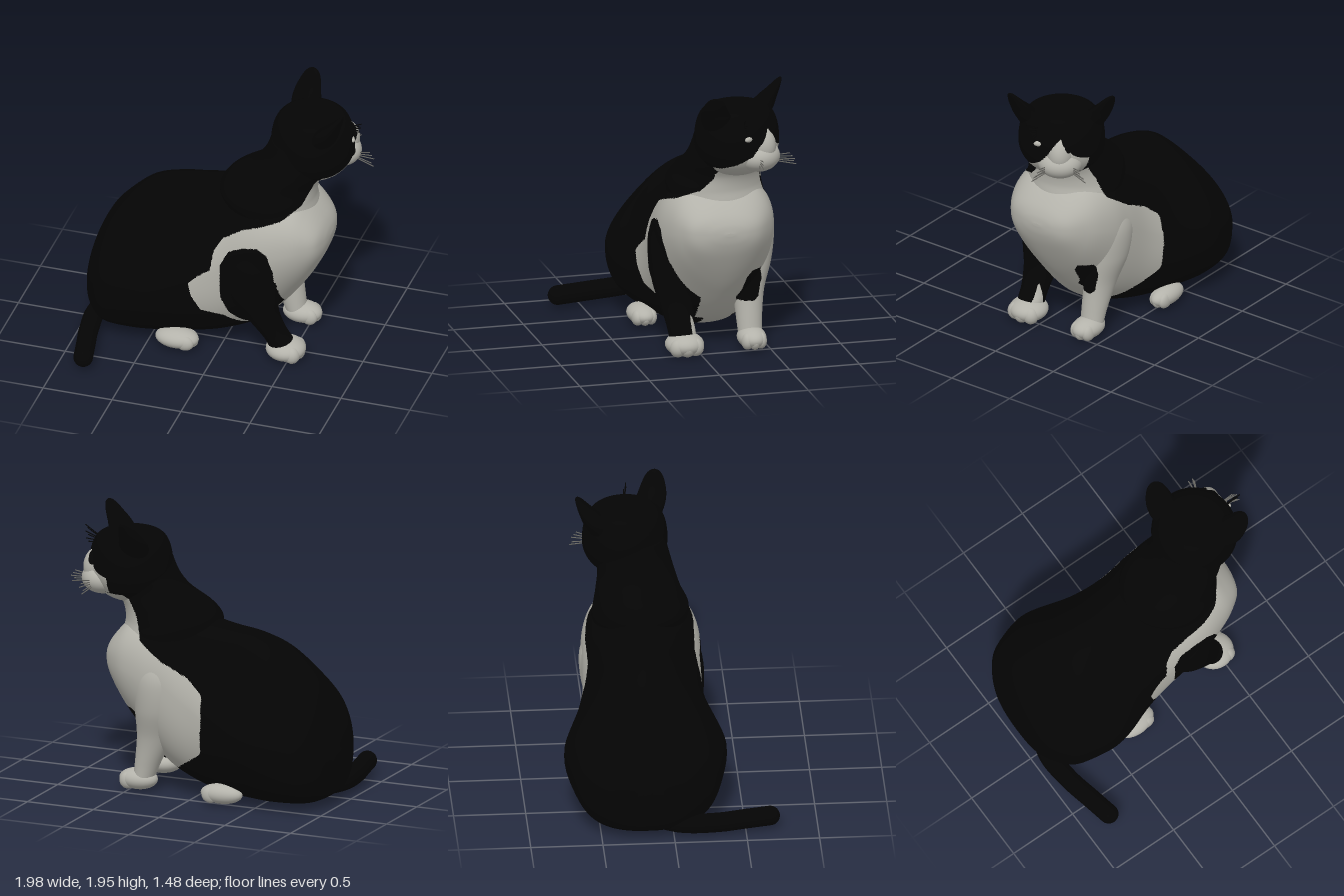
import * as THREE from 'three';

const black = new THREE.MeshStandardMaterial({ color: 0x040404 });
black.name = 'black fur';
const white = new THREE.MeshStandardMaterial({ color: 0xb4b3ab });
white.name = 'white fur';
const grey = new THREE.MeshStandardMaterial({ color: 0x6a6964 });
grey.name = 'grey whisker';

const MID = -0.17; // z of the body's middle plane
const HEAD = new THREE.Matrix4().makeRotationY(0.59).setPosition(0.56, 1.56, -0.24);

// Smooth interpolation through rows of numbers, t from 0 to 1
function sample(keys, t) {
  const f = t * (keys.length - 1), i = Math.min(Math.floor(f), keys.length - 2), s = f - i;
  const at = k => keys[Math.max(0, Math.min(keys.length - 1, k))];
  return keys[0].map((_, c) => {
    const [a, b, d, e] = [at(i - 1)[c], at(i)[c], at(i + 1)[c], at(i + 2)[c]];
    const m = (d - a) / 2, n = (e - b) / 2;
    return (2 * b - 2 * d + m + n) * s ** 3 + (-3 * b + 3 * d - 2 * m - n) * s * s + m * s + b;
  });
}

// Closed tube of rings: point(key, cos, sin) gives a ring point
function loft(keys, nu, nv, point) {
  const pos = [], idx = [];
  for (let i = 0; i <= nu; i++) {
    const k = sample(keys, i / nu);
    for (let j = 0; j < nv; j++) {
      const a = (j / nv) * Math.PI * 2;
      pos.push(...point(k, Math.cos(a), Math.sin(a)));
    }
  }
  for (let i = 0; i < nu; i++) for (let j = 0; j < nv; j++) {
    const a = i * nv + j, b = i * nv + (j + 1) % nv;
    idx.push(a, a + nv, b, b, a + nv, b + nv);
  }
  for (let j = 1; j < nv - 1; j++) // end caps
    idx.push(0, j, j + 1, nu * nv, nu * nv + j + 1, nu * nv + j);
  const g = new THREE.BufferGeometry();
  g.setAttribute('position', new THREE.Float32BufferAttribute(pos, 3));
  g.setIndex(idx);
  g.computeVertexNormals();
  return g;
}

// Level rings, keys [y, xBack, xFront, zMin, zMax]
const levels = (keys, nu, nv) => loft(keys, nu, nv, ([y, x0, x1, z0, z1], c, s) =>
  [(x0 + x1) / 2 + c * (x1 - x0) / 2, y, (z0 + z1) / 2 + s * (z1 - z0) / 2]);

const ball = (x, y, z, rx, ry, rz, n = 32) =>
  new THREE.SphereGeometry(1, n, Math.ceil(n * 0.7)).scale(rx, ry, rz).translate(x, y, z);

function inside(poly, x, y) {
  let hit = false;
  poly.forEach(([ax, ay], i) => {
    const [bx, by] = poly[(i + 1) % poly.length];
    if ((ay > y) !== (by > y) && x < ax + (bx - ax) * (y - ay) / (by - ay)) hit = !hit;
  });
  return hit;
}

// Outlines of the coat patches: x,y for the flanks and sleeve; z,y for the rest
const leftBib = [[1, 1.41], [.69, 1.41], [.62, 1.33], [.56, 1.2], [.45, 1.13], [.2, 1.05], [.05, .95], [-.01, .85],
  [-.03, .7], [-.12, .64], [-.18, .58], [-.16, .48], [-.1, .36], [.05, .32], [.2, .2], [.4, .12], [1, .12]];
const rightBib = [[1, 1.41], [.52, 1.4], [.43, 1.25], [.38, 1.1], [.2, .98], [0, .88], [-.12, .78],
  [-.13, .6], [-.12, .36], [.05, .25], [.2, .15], [.4, .03], [1, .03]];
const sleeve = [[.04, .5], [.04, .75], [.1, .87], [.2, .92], [.31, .94], [.38, .89], [.42, .75], [.42, .6], [.41, .4],
  [.55, .2], [.5, 0], [.2, 0], [.2, .22], [.09, .36]];
const cuff = [[.4, .68], [.2, .65], [.07, .58], [-.02, .42], [-.03, .1], [.4, .1]];
const legSpot = [[-.36, .59], [-.44, .59], [-.455, .5], [-.43, .37], [-.4, .34], [-.29, .34], [-.275, .37],
  [-.31, .43], [-.325, .54]];
const blaze = [[-.4, 1.69], [-.35, 1.6], [-.28, 1.51], [-.18, 1.45], [-.08, 1.41], [.1, 1.4], [-.6, 1.4],
  [-.53, 1.45], [-.53, 1.52], [-.47, 1.57], [-.44, 1.64]];

function isWhite([x, y, z]) {
  if (y > 1.405) return x > 0.62 && inside(blaze, z, y);
  if (x > 0.3 && inside(legSpot, z, y)) return false;
  if (z > 0.06 && inside(sleeve, x, y)) return false;
  if (x > 0.2 && x < 0.43 && inside(cuff, z, y)) return false;
  if (y < 0.2 && Math.abs(z + 0.2) < 0.11 && x > -0.85) return true;
  return inside(z > MID ? leftBib : rightBib, x, y);
}

// Split a part into black and white faces, dividing the faces that cross a patch outline
function coat(name, geo) {
  const src = geo.index.array, out = [0, 1].map(() => ({ p: [], n: [] }));
  const read = (attr, k) => [attr.getX(k), attr.getY(k), attr.getZ(k)];
  const half = (a, b) => ({ p: a.p.map((v, i) => (v + b.p[i]) / 2), n: a.n.map((v, i) => (v + b.n[i]) / 2) });
  function add(a, b, c, depth) {
    const w = [a, b, c].filter(v => isWhite(v.p)).length;
    if (depth > 0 && w % 3) {
      const d = half(a, b), e = half(b, c), f = half(c, a);
      [[a, d, f], [d, b, e], [f, e, c], [d, e, f]].forEach(t => add(...t, depth - 1));
    } else for (const v of [a, b, c]) {
      out[w > 1 ? 1 : 0].p.push(...v.p);
      out[w > 1 ? 1 : 0].n.push(...v.n);
    }
  }
  for (let i = 0; i < src.length; i += 3)
    add(...[0, 1, 2].map(k => ({ p: read(geo.attributes.position, src[i + k]), n: read(geo.attributes.normal, src[i + k]) })), 2);
  const g = new THREE.BufferGeometry(), [k, w] = out;
  g.setAttribute('position', new THREE.Float32BufferAttribute(k.p.concat(w.p), 3));
  g.setAttribute('normal', new THREE.Float32BufferAttribute(k.n.concat(w.n), 3));
  g.addGroup(0, k.p.length / 3, 0);
  g.addGroup(k.p.length / 3, w.p.length / 3, 1);
  return plain(name, g, [black, white]);
}

function plain(name, geo, mat) {
  const m = new THREE.Mesh(geo, mat);
  m.name = name;
  return m;
}

// Paw pointing along +x with soft toes
function paw(name, x, y, z, rx, ry, rz) {
  const g = new THREE.Group();
  g.name = name;
  g.add(plain('pad', ball(x, y, z, rx, ry, rz), white));
  for (let i = -1; i <= 1; i++)
    g.add(plain('toe', ball(x + rx * (0.57 - 0.12 * Math.abs(i)), y - ry * 0.12, z + i * rz * 0.48,
      rx * 0.42, ry * 0.8, rz * 0.42, 18), white));
  return g;
}

function whisker(a, b, mat) {
  const path = new THREE.LineCurve3(new THREE.Vector3(...a), new THREE.Vector3(...b));
  return plain('whisker', new THREE.TubeGeometry(path, 1, 0.004, 5).applyMatrix4(HEAD), mat);
}

export function createModel() {
  const cat = new THREE.Group();
  cat.name = 'sitting cat';

  // Torso: upright rings from rump to chest, [x, yTop, yMid, yBottom, zMin, zMax, upper and lower roundness]
  const torso = [[-1, .38, .3, .22, -.28, -.04, 1, .9], [-.97, .57, .34, .1, -.46, .1, 1, .8],
    [-.9, .75, .41, .05, -.59, .22, 1.05, .7], [-.8, .9, .45, .03, -.65, .3, 1.15, .65],
    [-.6, 1.09, .5, .02, -.66, .31, 1.2, .65], [-.4, 1.17, .53, .02, -.63, .29, 1.2, .7],
    [-.2, 1.2, .57, .03, -.6, .265, 1.15, .75], [0, 1.23, .67, .07, -.57, .255, 1.05, .8],
    [.2, 1.26, .8, .15, -.565, .265, .92, .9], [.35, 1.27, .85, .26, -.56, .26, .88, 1.1],
    [.5, 1.23, .89, .44, -.52, .22, .85, 1.1], [.6, 1.15, .92, .59, -.46, .17, .85, 1],
    [.68, 1.06, .92, .74, -.38, .1, .85, .9], [.718, .99, .92, .84, -.29, -.01, .85, .85],
    [.73, .93, .92, .91, -.18, -.12, .85, .85]];
  const soft = (v, e) => Math.sign(v) * Math.abs(v) ** e;
  cat.add(coat('torso', loft(torso, 110, 110, ([x, t, m, b, z0, z1, up, low], c, s) => {
    const e = c > 0 ? up : low, y = m + soft(c, e) * (c > 0 ? t - m : m - b);
    // haunches swell from the flanks
    const haunch = .085 * Math.exp(-(((x + .5) / .28) ** 2) - ((y - .46) / .3) ** 2);
    return [x, y, (z0 + z1) / 2 - soft(s, e) * ((z1 - z0) / 2 + haunch)];
  })));

  // Neck
  cat.add(coat('neck', levels([[1, .06, .6, -.45, .12], [1.1, -.03, .62, -.49, .17], [1.2, -.07, .61, -.48, .18],
    [1.3, -.01, .625, -.46, .13], [1.4, .15, .68, -.44, .09], [1.5, .235, .7, -.46, .06], [1.62, .28, .7, -.48, .03]], 60, 80)));

  // Hind paws
  cat.add(paw('leftHindPaw', -.28, .085, .215, .155, .07, .1));
  cat.add(paw('rightHindPaw', -.26, .085, -.53, .155, .07, .08));

  // Front legs and paws
  cat.add(coat('leftFrontLeg', levels([[.05, .37, .54, .02, .2], [.14, .34, .53, .02, .21], [.22, .285, .48, .02, .22],
    [.35, .18, .43, .01, .25], [.5, .07, .425, .01, .28], [.7, .05, .42, .02, .285], [.85, .1, .39, .04, .26],
    [.95, .18, .34, .08, .2]], 60, 50)));
  cat.add(paw('leftFrontPaw', .475, .08, .11, .14, .08, .135));
  cat.add(coat('rightFrontLeg', levels([[.05, .34, .48, -.46, -.3], [.2, .28, .46, -.47, -.29], [.4, .18, .44, -.5, -.28],
    [.6, .1, .44, -.56, -.27], [.8, .08, .44, -.58, -.28], [.93, .13, .41, -.55, -.32], [1.03, .2, .34, -.49, -.38]], 60, 50)));
  cat.add(paw('rightFrontPaw', .44, .08, -.38, .14, .075, .1));

  // Tail lying to the left
  const tail = new THREE.CatmullRomCurve3([[-.75, .1, -.2], [-.9, .1, .05], [-.89, .09, .3], [-.85, .09, .5], [-.815, .09, .67]]
    .map(p => new THREE.Vector3(...p)));
  cat.add(plain('tail', new THREE.TubeGeometry(tail, 40, .068, 20), black));
  cat.add(plain('tailTip', ball(-.815, .09, .67, .068, .068, .068, 24), black));

  // Head, turned to its right, with a flattened crown
  const skull = ball(0, 0, 0, .29, .25, .3, 80), sp = skull.attributes.position;
  for (let i = 0; i < sp.count; i++) {
    const y = sp.getY(i), grow = y > 0 ? 1 + .9 * y * y : 1;
    sp.setXYZ(i, sp.getX(i) * grow, y > 0 ? .26 * Math.sin(Math.min(1, y / .25) * Math.PI / 2) : y, sp.getZ(i) * grow);
  }
  skull.computeVertexNormals();
  cat.add(coat('skull', skull.applyMatrix4(HEAD)));
  cat.add(coat('muzzle', ball(.2, -.08, 0, .145, .11, .155, 48).applyMatrix4(HEAD)));
  cat.add(coat('noseBridge', ball(.2, .0, 0, .135, .15, .1, 48).applyMatrix4(HEAD)));
  cat.add(plain('eyeGlint', ball(.24, .075, .143, .018, .02, .038, 16).applyMatrix4(HEAD), white));

  // Ears, rings [y, forward, outward, thin radius, wide radius] opening diagonally outward
  const ear = [[.1, .0, .18, .09, .1], [.19, .02, .23, .09, .11], [.25, .04, .27, .068, .1],
    [.3, .065, .3, .046, .085], [.35, .088, .325, .026, .062], [.377, .1, .338, .014, .035], [.387, .104, .342, .004, .008]];
  for (const [side, s] of [['left', 1], ['right', -1]]) {
    const geo = loft(ear, 30, 30, ([y, f, l, thin, wide], c, q) =>
      [f + .7 * (c * thin - s * q * wide), y, s * (l + .7 * (c * thin + s * q * wide))]);
    cat.add(plain(side + 'Ear', geo.applyMatrix4(HEAD), black));
    for (let i = 0; i < 5; i++)
      cat.add(whisker([.28, -.08 - .01 * i, s * .08], [.37 + .012 * (i % 3), -.06 - .022 * i, s * (.14 + .012 * i)], grey));
  }

  // Brow hairs over the left eye
  for (let i = 0; i < 6; i++)
    cat.add(whisker([.2, .13 + .01 * i, .15], [.27 + .015 * (i % 2), .13 + .022 * i, .18 + .01 * i], black));
  return cat;
}
